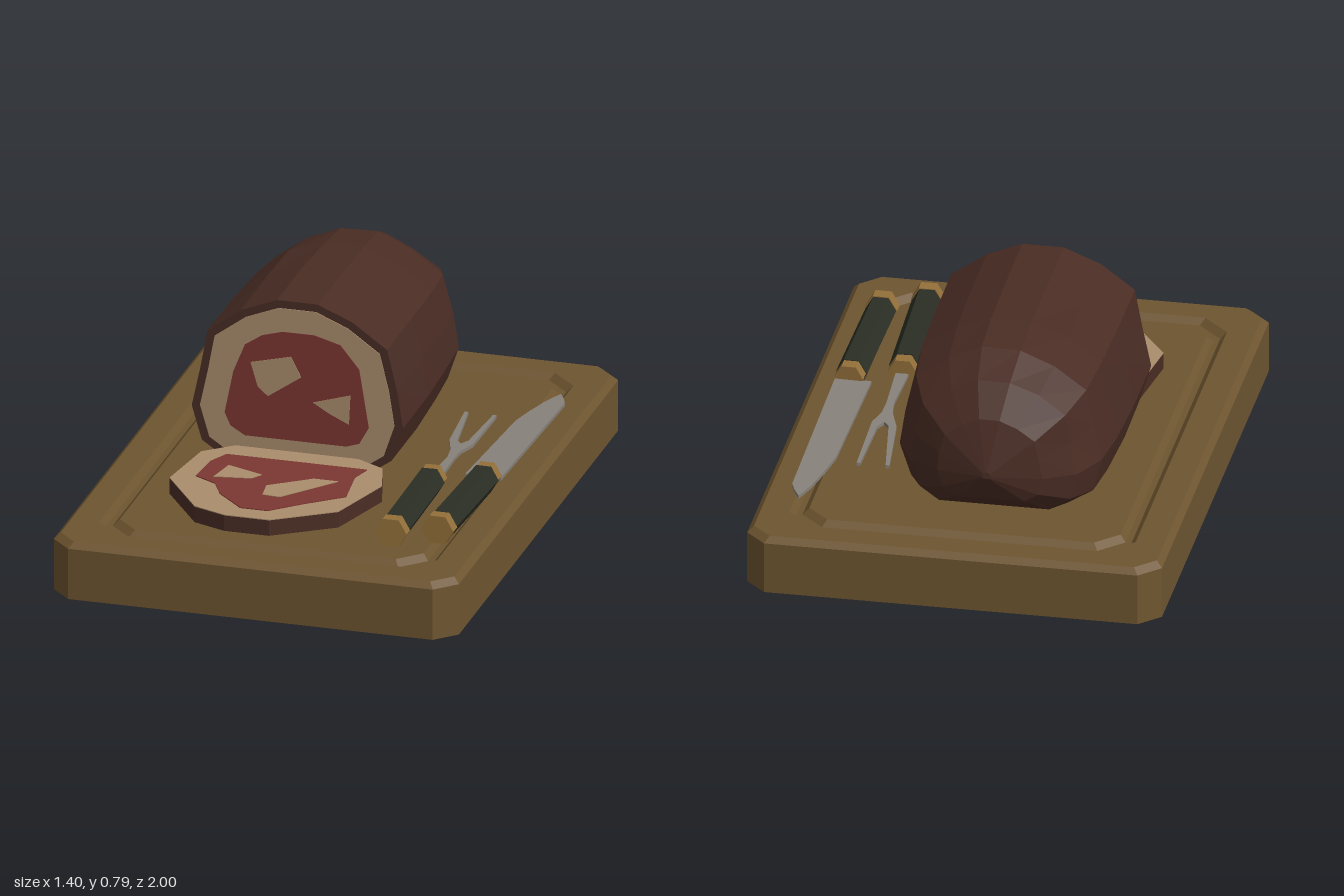
import * as THREE from 'three';

const mat = (name, color, extra = {}) => {
  const m = new THREE.MeshStandardMaterial({ color, flatShading: true, ...extra });
  m.name = name;
  return m;
};

// Skin between matching rings (counter-clockwise seen along the loft), capped at both ends
function loft(rings) {
  const pos = [];
  const tri = (...pts) => pts.forEach(p => pos.push(p.x, p.y, p.z));
  const n = rings[0].length;
  const middle = r => r.reduce((s, p) => s.add(p), new THREE.Vector3()).divideScalar(n);
  const first = rings[0], last = rings[rings.length - 1];
  const c0 = middle(first), c1 = middle(last);
  for (let j = 0; j < n; j++) {
    const k = (j + 1) % n;
    for (let i = 0; i < rings.length - 1; i++) {
      const a = rings[i], b = rings[i + 1];
      tri(a[j], a[k], b[k]);
      tri(a[j], b[k], b[j]);
    }
    tri(c0, first[k], first[j]);
    tri(c1, last[j], last[k]);
  }
  const g = new THREE.BufferGeometry();
  g.setAttribute('position', new THREE.Float32BufferAttribute(pos, 3));
  g.computeVertexNormals();
  return g;
}

const extrude = (pts, depth) => new THREE.ExtrudeGeometry(
  new THREE.Shape(pts.map(p => new THREE.Vector2(p[0], p[1]))), { depth, bevelEnabled: false });

// Plate facing +z, outline in (x, y)
const facePlate = (pts, z, depth) => extrude(pts, depth).translate(0, 0, z);

// Plate facing up, outline in (x, z)
const flatPlate = (pts, y, depth) =>
  extrude(pts.map(([x, z]) => [x, -z]), depth).rotateX(-Math.PI / 2).translate(0, y, 0);

// Rectangle with cut corners at height y
function octagon(hx, hz, c, y) {
  return [[hx, -hz + c], [hx, hz - c], [hx - c, hz], [-hx + c, hz],
    [-hx, hz - c], [-hx, -hz + c], [-hx + c, -hz], [hx - c, -hz]]
    .map(([x, v]) => new THREE.Vector3(x, y, -v));
}

export function createModel() {
  const model = new THREE.Group();
  const wood = mat('wood', 0x6e5530), rind = mat('rind', 0x4a2d24);
  const fat = mat('fat', 0xab8d6d), meat = mat('meat', 0x7c3731);
  const steel = mat('steel', 0x87827a), brass = mat('brass', 0x94703a);
  const grip = mat('grip', 0x2b2e24);
  const add = (parent, name, geometry, material) => {
    const m = new THREE.Mesh(geometry, material);
    m.name = name;
    parent.add(m);
    return m;
  };
  const group = name => {
    const g = new THREE.Group();
    g.name = name;
    model.add(g);
    return g;
  };

  // Cutting board with bevelled rim and juice groove
  add(model, 'cuttingBoard', loft([
    octagon(0.70, 1.00, 0.07, 0), octagon(0.70, 1.00, 0.07, 0.18),
    octagon(0.68, 0.98, 0.065, 0.20), octagon(0.585, 0.885, 0.09, 0.20),
    octagon(0.565, 0.865, 0.085, 0.18), octagon(0.545, 0.845, 0.08, 0.18),
    octagon(0.525, 0.825, 0.075, 0.20)]), wood);

  // Roast body: one cross-section shrinking towards the rounded back
  const roast = group('roast');
  const section = [[0.275, 0.38], [0.255, 0.51], [0.22, 0.655], [0.10, 0.74], [-0.02, 0.79],
    [-0.16, 0.79], [-0.285, 0.74], [-0.40, 0.655], [-0.425, 0.52], [-0.455, 0.38],
    [-0.42, 0.26], [-0.33, 0.20], [0.15, 0.20], [0.235, 0.26]];
  let seed = 7;
  const rand = () => (seed = (seed * 16807) % 2147483647) / 2147483647 - 0.5;
  const steps = [[-0.845, 0.04], [-0.79, 0.49], [-0.71, 0.77], [-0.58, 0.93],
    [-0.40, 0.98], [-0.15, 1], [0.147, 1]];
  add(roast, 'roastRind', loft(steps.map(([z, s], i) => section.map(([x, y]) => {
    const k = s * (i > 0 && i < 6 ? 1 + 0.025 * rand() : 1);
    return new THREE.Vector3(-0.09 + (x + 0.09) * k, Math.max(0.2, 0.42 + (y - 0.42) * k), z);
  }))), rind);

  // Cut face: fat, meat and marbling
  add(roast, 'roastFat', facePlate(section.map(([x, y]) =>
    [-0.09 + (x + 0.09) * 0.92, 0.45 + (y - 0.45) * 0.92]), 0.145, 0.005), fat);
  add(roast, 'roastMeat', facePlate([[-0.14, 0.68], [-0.03, 0.68], [0.06, 0.655], [0.125, 0.575],
    [0.158, 0.37], [0.125, 0.31], [0.08, 0.295], [-0.27, 0.295], [-0.32, 0.325], [-0.34, 0.37],
    [-0.31, 0.52], [-0.27, 0.62], [-0.21, 0.66]], 0.148, 0.004), meat);
  [[[-0.25, 0.56], [-0.11, 0.595], [-0.075, 0.525], [-0.19, 0.445], [-0.225, 0.475]],
    [[-0.035, 0.44], [0.095, 0.48], [0.09, 0.375], [0.025, 0.405]]]
    .forEach(p => add(roast, 'roastMarbling', facePlate(p, 0.15, 0.004), fat));

  // Slice lying in front
  const slice = group('slice');
  const outline = [[-0.30, 0.158], [0.125, 0.158], [0.225, 0.215], [0.265, 0.36], [0.19, 0.615],
    [-0.01, 0.75], [-0.165, 0.75], [-0.28, 0.705], [-0.43, 0.49], [-0.395, 0.24]];
  add(slice, 'sliceRind', flatPlate(outline, 0.2, 0.055), rind);
  add(slice, 'sliceFat', flatPlate(outline, 0.255, 0.003), fat);
  add(slice, 'sliceMeat', flatPlate([[-0.305, 0.245], [0.18, 0.245], [0.16, 0.32], [0.18, 0.49],
    [0.06, 0.59], [-0.035, 0.68], [-0.13, 0.68], [-0.23, 0.58], [-0.27, 0.50], [-0.35, 0.455],
    [-0.34, 0.32]], 0.256, 0.005), meat);
  [[[-0.27, 0.34], [-0.14, 0.39], [-0.165, 0.43], [-0.29, 0.45]],
    [[0.12, 0.375], [0.035, 0.375], [-0.10, 0.475], [-0.09, 0.555], [-0.03, 0.56]]]
    .forEach(p => add(slice, 'sliceMarbling', flatPlate(p, 0.259, 0.004), fat));

  // Six-sided grip with brass ferrule and pommel, from front end to back end
  function handle(parent, back, front) {
    const a = new THREE.Vector3(...back), b = new THREE.Vector3(...front);
    const dir = b.clone().sub(a), len = dir.length();
    const turn = new THREE.Quaternion().setFromUnitVectors(
      new THREE.Vector3(0, 0, 1), dir.clone().normalize());
    const bar = (name, s, e, r, material) => add(parent, name,
      new THREE.CylinderGeometry(r, r, e - s, 6).rotateY(Math.PI / 6).rotateX(Math.PI / 2)
        .translate(0, 0, (s + e) / 2).applyQuaternion(turn).translate(a.x, a.y, a.z), material);
    bar('ferrule', 0, 0.05, 0.049, brass);
    bar('grip', 0.045, len - 0.04, 0.052, grip);
    bar('pommel', len - 0.045, len, 0.055, brass);
  }

  // Flat steel piece sloping down to the board
  function steelPart(parent, name, pts) {
    const g = flatPlate(pts, 0, 0.012);
    const p = g.attributes.position;
    for (let i = 0; i < p.count; i++) p.setY(i, p.getY(i) + 0.228 + 0.035 * (p.getZ(i) - 0.15));
    g.computeVertexNormals();
    add(parent, name, g, steel);
  }

  const knife = group('carvingKnife');
  handle(knife, [0.563, 0.245, 0.13], [0.55, 0.257, 0.675]);
  steelPart(knife, 'blade', [[0.487, 0.135], [0.61, 0.135], [0.61, -0.61], [0.595, -0.65],
    [0.573, -0.69], [0.545, -0.61], [0.52, -0.50], [0.502, -0.40]]);

  const fork = group('carvingFork');
  handle(fork, [0.396, 0.246, 0.205], [0.412, 0.261, 0.755]);
  steelPart(fork, 'shankAndTines', [[0.375, 0.22], [0.42, 0.22], [0.41, 0], [0.412, -0.07],
    [0.432, -0.14], [0.428, -0.43], [0.416, -0.43], [0.408, -0.17], [0.392, -0.135],
    [0.372, -0.16], [0.33, -0.43], [0.317, -0.43], [0.345, -0.16], [0.375, -0.07], [0.385, 0]]);

  return model;
}
